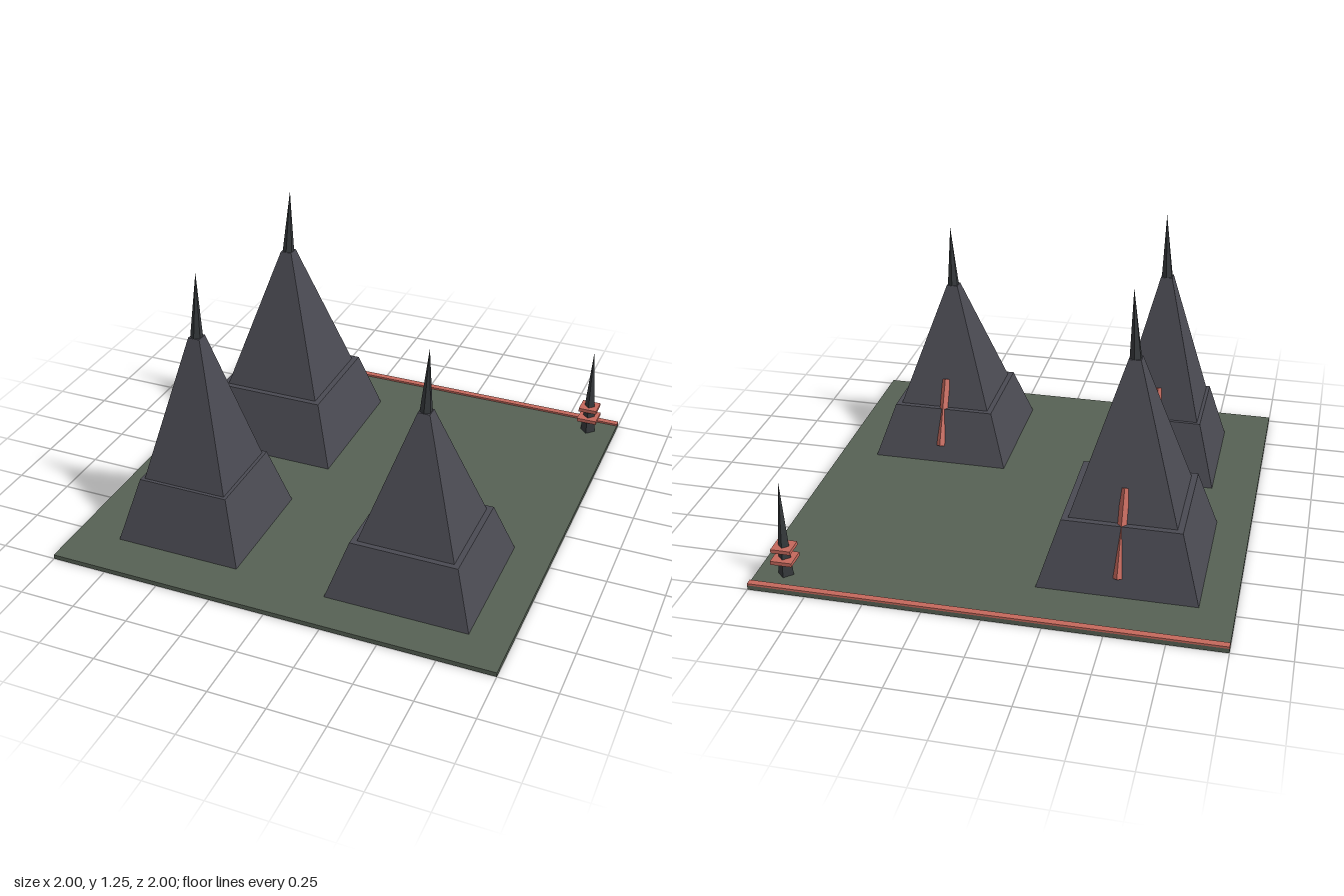
import * as THREE from 'three';

const material = (name, color) => {
  const m = new THREE.MeshStandardMaterial({ color, flatShading: true });
  m.name = name;
  return m;
};

export function createModel() {
  const stone = material('dark stone', 0x4a4a52);
  const metal = material('spire metal', 0x35383b);
  const moss = material('moss ground', 0x566154);
  const red = material('glowing red', 0xc4685c);

  const model = new THREE.Group();
  model.name = 'towerField';

  const add = (parent, name, geometry, mat, x = 0, y = 0, z = 0) => {
    const mesh = new THREE.Mesh(geometry, mat);
    mesh.name = name;
    mesh.position.set(x, y, z);
    parent.add(mesh);
    return mesh;
  };

  // Square frustum standing on its own origin, given half widths
  const frustum = (bottom, top, height) =>
    new THREE.CylinderGeometry(top * Math.SQRT2, bottom * Math.SQRT2, height, 4)
      .rotateY(Math.PI / 4).translate(0, height / 2, 0);

  // Ground slab and boundary line along the back edge
  const floor = 0.02;
  add(model, 'ground', new THREE.BoxGeometry(2, floor, 2), moss, 0, floor / 2, 0);
  add(model, 'boundaryLine', new THREE.BoxGeometry(2, 0.009, 0.03), red, 0, floor + 0.0045, -0.985);

  // Two-tier pyramid tower with a leaning spire and a red bar on its back
  function tower(name, x, z, t) {
    const g = new THREE.Group();
    g.name = name;
    g.position.set(x, 0, z);
    add(g, 'lowerTier', frustum(t.base, t.ledge, t.tierY - floor), stone, 0, floor, 0);
    add(g, 'upperTier', frustum(t.body, 0.026, t.bodyY - t.tierY), stone, 0, t.tierY, 0);

    const spireBase = t.bodyY - 0.015;
    const h = t.tipY - spireBase;
    const spire = add(g, 'spire', new THREE.ConeGeometry(0.028, h, 6).translate(0, h / 2, 0), metal, 0, spireBase, 0);
    spire.rotation.z = -t.lean;

    const low = new THREE.Vector3(0, 0.095, -t.base + 0.022);
    const high = new THREE.Vector3(0, t.barY, t.barZ);
    const along = high.clone().sub(low);
    const bar = add(g, 'redBar', new THREE.CylinderGeometry(0.019, 0.019, along.length(), 4), red);
    bar.position.copy(low).add(high).multiplyScalar(0.5);
    bar.quaternion.setFromUnitVectors(new THREE.Vector3(0, 1, 0), along.normalize());
    model.add(g);
  }

  tower('backTower', -0.51, -0.41, {
    base: 0.34, ledge: 0.253, body: 0.227, tierY: 0.305, bodyY: 0.95, tipY: 1.25, lean: 0.05, barY: 0.445, barZ: -0.177,
  });
  tower('frontRightTower', -0.51, 0.507, {
    base: 0.285, ledge: 0.205, body: 0.19, tierY: 0.305, bodyY: 0.945, tipY: 1.24, lean: 0.04, barY: 0.445, barZ: -0.148,
  });
  tower('frontLeftTower', 0.51, 0.507, {
    base: 0.316, ledge: 0.235, body: 0.211, tierY: 0.263, bodyY: 0.815, tipY: 1.1, lean: 0.03, barY: 0.39, barZ: -0.166,
  });

  // Small corner pylon with two square collars
  const pylon = new THREE.Group();
  pylon.name = 'pylon';
  pylon.position.set(0.875, floor, -0.88);
  add(pylon, 'pylonSpike', new THREE.ConeGeometry(0.035, 0.44, 4), metal, 0, 0.22, 0);
  [[0.075, 0.094], [0.13, 0.086]].forEach(([y, w]) =>
    add(pylon, 'collar', new THREE.BoxGeometry(w, 0.017, w), red, 0, y, 0));
  model.add(pylon);

  return model;
}
